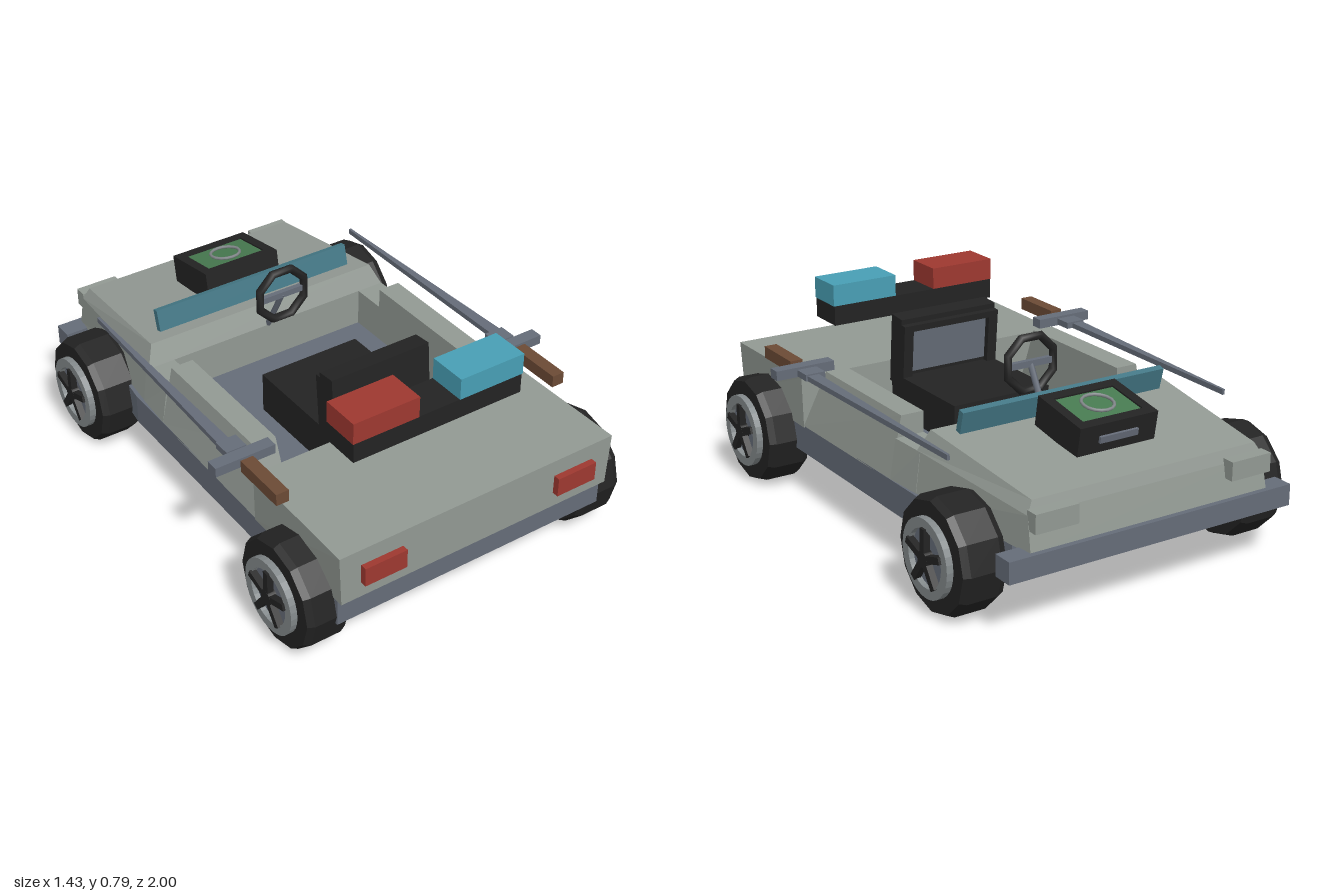
import * as THREE from 'three';

const mat = (name, color) => {
  const m = new THREE.MeshStandardMaterial({ color });
  m.name = name;
  return m;
};

export function createModel() {
  const model = new THREE.Group();
  model.name = 'openBuggy';
  const body = mat('bodyGrey', 0x929993);
  const slate = mat('slateGrey', 0x656c78);
  const black = mat('black', 0x232323);
  const rim = mat('rimGrey', 0x83898b);
  const red = mat('signalRed', 0x9e3830);
  const cyan = mat('signalBlue', 0x489fb5);
  const glass = mat('windshieldTeal', 0x447886);
  const brown = mat('brown', 0x6b4a35);
  const green = mat('screenGreen', 0x477a50);

  const add = (name, geo, material, parent = model) => {
    const m = new THREE.Mesh(geo, material);
    m.name = name;
    parent.add(m);
    return m;
  };
  // Box given by its minimum and maximum on each axis
  const box = (name, material, x0, x1, y0, y1, z0, z1, parent) => {
    const m = add(name, new THREE.BoxGeometry(Math.abs(x1 - x0), y1 - y0, z1 - z0), material, parent);
    m.position.set((x0 + x1) / 2, (y0 + y1) / 2, (z0 + z1) / 2);
    return m;
  };
  // Flat-shaded solid between a lower and an upper loop, counterclockwise from above
  const prism = (name, material, lower, upper, side = 1) => {
    const fit = (l) => {
      const p = l.map(([x, y, z]) => [x * side, y, z]);
      return side < 0 ? p.reverse() : p;
    };
    const b = fit(lower), t = fit(upper), n = b.length, v = [];
    for (let i = 0; i < n; i++) {
      const j = (i + 1) % n;
      v.push(...b[i], ...b[j], ...t[j], ...b[i], ...t[j], ...t[i]);
      if (i > 0 && i < n - 1) v.push(...t[0], ...t[i], ...t[j], ...b[0], ...b[j], ...b[i]);
    }
    const g = new THREE.BufferGeometry();
    g.setAttribute('position', new THREE.Float32BufferAttribute(v, 3));
    g.computeVertexNormals();
    return add(name, g, material);
  };
  // Symmetric loop from [half width, y, z] at the +z end and the -z end
  const loop = ([a, ya, za], [b, yb, zb]) => [[-a, ya, za], [a, ya, za], [b, yb, zb], [-b, yb, zb]];

  // Chassis, tapering towards the hood
  const plan = (y) => [[-0.57, y, 0.95], [0.57, y, 0.95], [0.565, y, -0.4], [0.5, y, -0.88], [-0.5, y, -0.88], [-0.565, y, -0.4]];
  prism('chassis', slate, plan(0.18), plan(0.3));
  box('bumper', slate, -0.59, 0.59, 0.22, 0.3, -1, -0.92);

  // Rear deck and sloped hood
  prism('rearDeck', body, loop([0.572, 0.288, 0.975], [0.572, 0.288, 0.45]), loop([0.582, 0.49, 0.975], [0.575, 0.49, 0.45]));
  prism('hoodBase', body, loop([0.555, 0.295, -0.34], [0.495, 0.295, -0.98]), loop([0.535, 0.45, -0.34], [0.49, 0.42, -0.955]));
  prism('hoodTop', body, loop([0.535, 0.45, -0.34], [0.49, 0.42, -0.955]), loop([0.5, 0.53, -0.375], [0.465, 0.465, -0.94]));

  for (const s of [1, -1]) {
    // Cockpit walls
    prism('sideWall', body,
      [[0.425, 0.295, 0.45], [0.572, 0.295, 0.45], [0.565, 0.295, -0.2], [0.425, 0.295, -0.2]],
      [[0.425, 0.53, 0.36], [0.515, 0.53, 0.36], [0.515, 0.53, -0.2], [0.425, 0.53, -0.2]], s);
    prism('frontSill', body,
      [[0.425, 0.295, -0.2], [0.565, 0.295, -0.2], [0.555, 0.295, -0.36], [0.425, 0.295, -0.36]],
      [[0.425, 0.45, -0.2], [0.54, 0.45, -0.2], [0.535, 0.45, -0.36], [0.425, 0.45, -0.36]], s);

    // Pointed side rails with cross bars and grips
    const rail = (y) => [[0.575, y, 0.36], [0.625, y, 0.36], [0.59, y - 0.008, -0.63], [0.58, y - 0.008, -0.63]];
    prism('sideRail', slate, rail(0.53), rail(0.55), s);
    box('railEnd', slate, s * 0.55, s * 0.63, 0.53, 0.555, 0.3, 0.37);
    box('crossBar', slate, s * 0.47, s * 0.71, 0.523, 0.56, 0.38, 0.43);
    box('grip', brown, s * 0.57, s * 0.62, 0.518, 0.565, 0.445, 0.665);

    // Lamps
    box('tailLamp', red, s * 0.325, s * 0.495, 0.35, 0.425, 0.96, 1);
    box('headLamp', body, s * 0.32, s * 0.49, 0.37, 0.44, -1, -0.95);

    // Wheels
    for (const z of [0.735, -0.668]) {
      const wheel = new THREE.Group();
      wheel.name = 'wheel';
      wheel.position.set(s * 0.595, 0.212, z);
      wheel.rotation.y = s > 0 ? 0 : Math.PI;
      model.add(wheel);
      const profile = [[0.135, -0.085], [0.2, -0.085], [0.212, -0.06], [0.212, 0.06], [0.2, 0.085], [0.135, 0.085]];
      const tyre = new THREE.LatheGeometry(profile.map(([r, y]) => new THREE.Vector2(r, y)), 12).toNonIndexed();
      tyre.computeVertexNormals();
      tyre.rotateZ(-Math.PI / 2);
      add('tyre', tyre, black, wheel);
      const disc = (name, material, r, x0, x1) => {
        const g = new THREE.CylinderGeometry(r, r, x1 - x0, 16);
        g.rotateZ(-Math.PI / 2);
        add(name, g, material, wheel).position.x = (x0 + x1) / 2;
      };
      disc('hubPlate', slate, 0.142, -0.08, 0.09);
      const ring = new THREE.Shape().absarc(0, 0, 0.142, 0, Math.PI * 2);
      ring.holes.push(new THREE.Path().absarc(0, 0, 0.105, 0, Math.PI * 2, true));
      const ringGeo = new THREE.ExtrudeGeometry(ring, { depth: 0.025, bevelEnabled: false, curveSegments: 16 });
      ringGeo.rotateY(Math.PI / 2);
      add('rim', ringGeo, rim, wheel).position.x = 0.085;
      disc('hubCap', black, 0.03, 0.08, 0.12);
      for (let i = 0; i < 5; i++) {
        const g = new THREE.BoxGeometry(0.025, 0.1, 0.026);
        g.translate(0.107, 0.06, 0);
        g.rotateX(i * Math.PI * 0.4);
        add('spoke', g, black, wheel);
      }
    }
  }

  // Seat with an inset back panel
  box('seatBase', black, -0.21, 0.21, 0.3, 0.46, -0.06, 0.4);
  const seatBack = new THREE.Group();
  seatBack.name = 'seatBack';
  seatBack.position.set(0, 0.48, 0.37);
  seatBack.rotation.x = -0.09;
  model.add(seatBack);
  box('backShell', black, -0.21, 0.21, -0.06, 0.215, -0.035, 0.04, seatBack);
  for (const s of [1, -1]) box('backEdge', black, s * 0.17, s * 0.21, -0.04, 0.195, -0.06, -0.035, seatBack);
  box('backTopEdge', black, -0.17, 0.17, 0.17, 0.195, -0.06, -0.035, seatBack);
  box('backPanel', slate, -0.165, 0.165, 0, 0.17, -0.044, -0.035, seatBack);

  // Steering wheel and column
  const steering = new THREE.Group();
  steering.name = 'steering';
  steering.position.set(0, 0.642, -0.245);
  model.add(steering);
  add('steeringWheel', new THREE.TorusGeometry(0.106, 0.017, 6, 8), black, steering).rotation.z = Math.PI / 8;
  box('steeringSpoke', slate, -0.1, 0.1, -0.012, 0.012, -0.01, 0.01, steering);
  const column = add('steeringColumn', new THREE.CylinderGeometry(0.012, 0.012, 0.22, 6), slate, steering);
  column.position.set(0, -0.095, -0.05);
  column.rotation.x = 0.5;

  // Windshield
  const shield = box('windshield', glass, -0.43, 0.43, 0.525, 0.61, -0.463, -0.437);
  shield.rotation.x = -0.25;

  // Tilted console with a green screen
  const console_ = new THREE.Group();
  console_.name = 'console';
  console_.position.set(0, 0.555, -0.645);
  console_.rotation.x = -0.17;
  model.add(console_);
  box('consoleCase', black, -0.163, 0.163, -0.055, 0.045, -0.13, 0.125, console_);
  for (const s of [1, -1]) {
    box('screenFrame', black, s * 0.125, s * 0.163, 0.045, 0.06, -0.13, 0.125, console_);
    box('screenFrameEnd', black, -0.125, 0.125, 0.045, 0.06, s > 0 ? 0.085 : -0.13, s > 0 ? 0.125 : -0.09, console_);
  }
  box('screen', green, -0.125, 0.125, 0.045, 0.054, -0.09, 0.085, console_);
  add('dial', new THREE.TorusGeometry(0.058, 0.006, 6, 16).rotateX(Math.PI / 2), rim, console_).position.y = 0.062;
  box('consoleHandle', slate, -0.08, 0.08, -0.01, 0.015, -0.14, -0.13, console_);

  // Signal bar above the deck
  box('signalBarBase', black, -0.357, 0.357, 0.625, 0.703, 0.578, 0.73);
  box('redSignal', red, -0.36, -0.088, 0.703, 0.787, 0.578, 0.732);
  box('blueSignal', cyan, 0.085, 0.36, 0.703, 0.787, 0.578, 0.732);

  return model;
}
